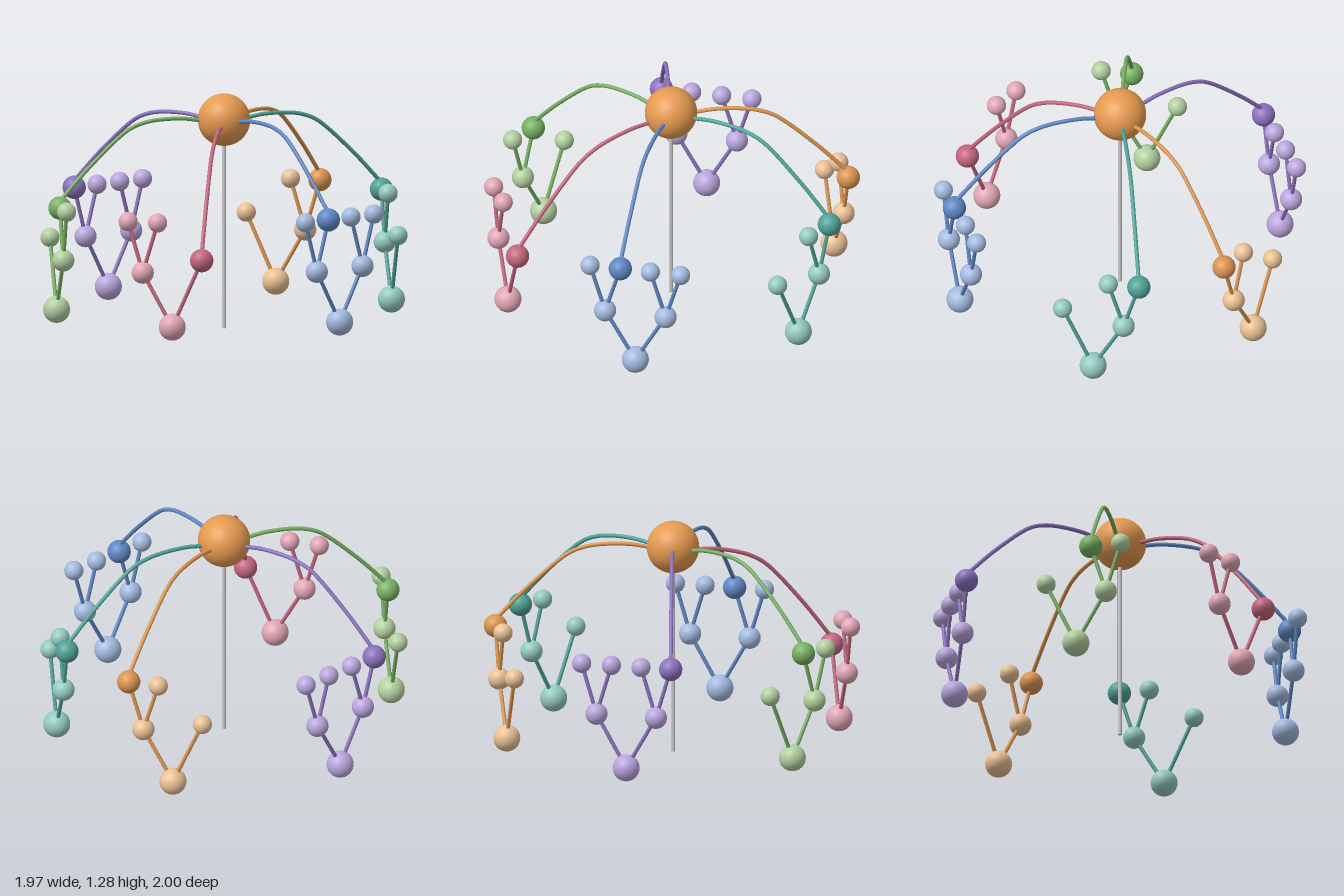
import * as THREE from 'three';

const HUB_Y = 1.137, RING = 0.926, ROD_R = 0.0105;

const mat = (color) => new THREE.MeshStandardMaterial({ color });

function ball(parent, name, r, pos, material) {
  const m = new THREE.Mesh(new THREE.SphereGeometry(r, 40, 28), material);
  m.position.copy(pos);
  m.name = name;
  parent.add(m);
}

function rod(parent, name, a, b, r, material) {
  const m = new THREE.Mesh(new THREE.CylinderGeometry(r, r, a.distanceTo(b), 16), material);
  m.position.copy(a).lerp(b, 0.5);
  m.quaternion.setFromUnitVectors(new THREE.Vector3(0, 1, 0), b.clone().sub(a).normalize());
  m.name = name;
  parent.add(m);
}

// Branch layouts: s = sideways offset, y = height, r = radius, parent = index
const node = (s, y, r, parent) => ({ s, y, r, parent });
const FULL = [
  node(0, 0.13, 0.073), node(-0.167, 0.42, 0.06, 0), node(0.167, 0.42, 0.06, 0),
  node(-0.25, 0.695, 0.052, 1), node(-0.083, 0.695, 0.052, 1),
  node(0.083, 0.695, 0.052, 2), node(0.25, 0.695, 0.052, 2),
];
const SPARSE = [
  node(0, 0.13, 0.073), node(0.167, 0.42, 0.06, 0), node(-0.167, 0.50, 0.052, 0),
  node(0.083, 0.695, 0.052, 1), node(0.25, 0.695, 0.052, 1),
];

// at = direction from the hub, side = sideways direction, pick = leaf joined to the hub (degrees, x towards z)
const TREES = [
  { name: 'blueTree', at: 90, side: 0, nodes: FULL, pick: 4, light: 0xa3b9de, dark: 0x5f86c4 },
  { name: 'tealTree', at: 30, side: -60, nodes: SPARSE, pick: 4, light: 0x93c9bf, dark: 0x4fa296 },
  { name: 'orangeTree', at: -30, side: 60, nodes: SPARSE, pick: 4, light: 0xe9c094, dark: 0xdb9550 },
  { name: 'purpleTree', at: -90, side: 0, nodes: FULL, pick: 3, light: 0xb9a6dc, dark: 0x8b72bd },
  { name: 'greenTree', at: 210, side: 120, nodes: SPARSE, pick: 3, light: 0xb2cfa0, dark: 0x78b063 },
  { name: 'pinkTree', at: 150, side: 240, nodes: SPARSE, pick: 2, light: 0xe0a5b4, dark: 0xc4667f },
];

// Arm profile: fraction of the way out, height
const ARM = [[0.14, 1.138], [0.25, 1.153], [0.41, 1.151], [0.5, 1.136], [0.59, 1.1], [0.81, 0.92], [0.99, 0.742]];

function dir(deg) {
  const a = THREE.MathUtils.degToRad(deg);
  return new THREE.Vector3(Math.cos(a), 0, Math.sin(a));
}

function buildTree({ name, at, side, nodes, pick, light, dark }) {
  const g = new THREE.Group();
  g.name = name;
  const lightMat = mat(light), darkMat = mat(dark);
  const points = nodes.map((n) =>
    dir(at).multiplyScalar(RING).addScaledVector(dir(side), n.s).setY(n.y));

  nodes.forEach((n, i) => {
    const chosen = i === pick;
    const label = i === 0 ? 'rootBall' : chosen ? 'linkedLeafBall' : n.r > 0.055 ? 'branchBall' : 'leafBall';
    ball(g, label, chosen ? 0.063 : n.r, points[i], chosen ? darkMat : lightMat);
    if (i > 0) rod(g, 'branch', points[n.parent], points[i], ROD_R, darkMat);
  });

  // Curved arm from the hub down to the linked leaf
  const end = points[pick], drop = 0.695 - end.y;
  const path = new THREE.CatmullRomCurve3(
    ARM.map(([f, y]) => new THREE.Vector3(end.x * f, y - drop * f, end.z * f)));
  const arm = new THREE.Mesh(new THREE.TubeGeometry(path, 64, 0.011, 14), darkMat);
  arm.name = 'arm';
  g.add(arm);
  return g;
}

export function createModel() {
  const model = new THREE.Group();
  model.name = 'treeCarousel';
  const body = new THREE.Group();
  body.name = 'carousel';
  body.position.x = -0.005;
  model.add(body);

  // Central ball on its pole
  const top = new THREE.Vector3(0, HUB_Y, 0);
  ball(body, 'hub', 0.142, top, mat(0xe59a50));
  rod(body, 'pole', new THREE.Vector3(), top, 0.011, mat(0xcccccc));

  TREES.forEach((t) => body.add(buildTree(t)));
  return model;
}
